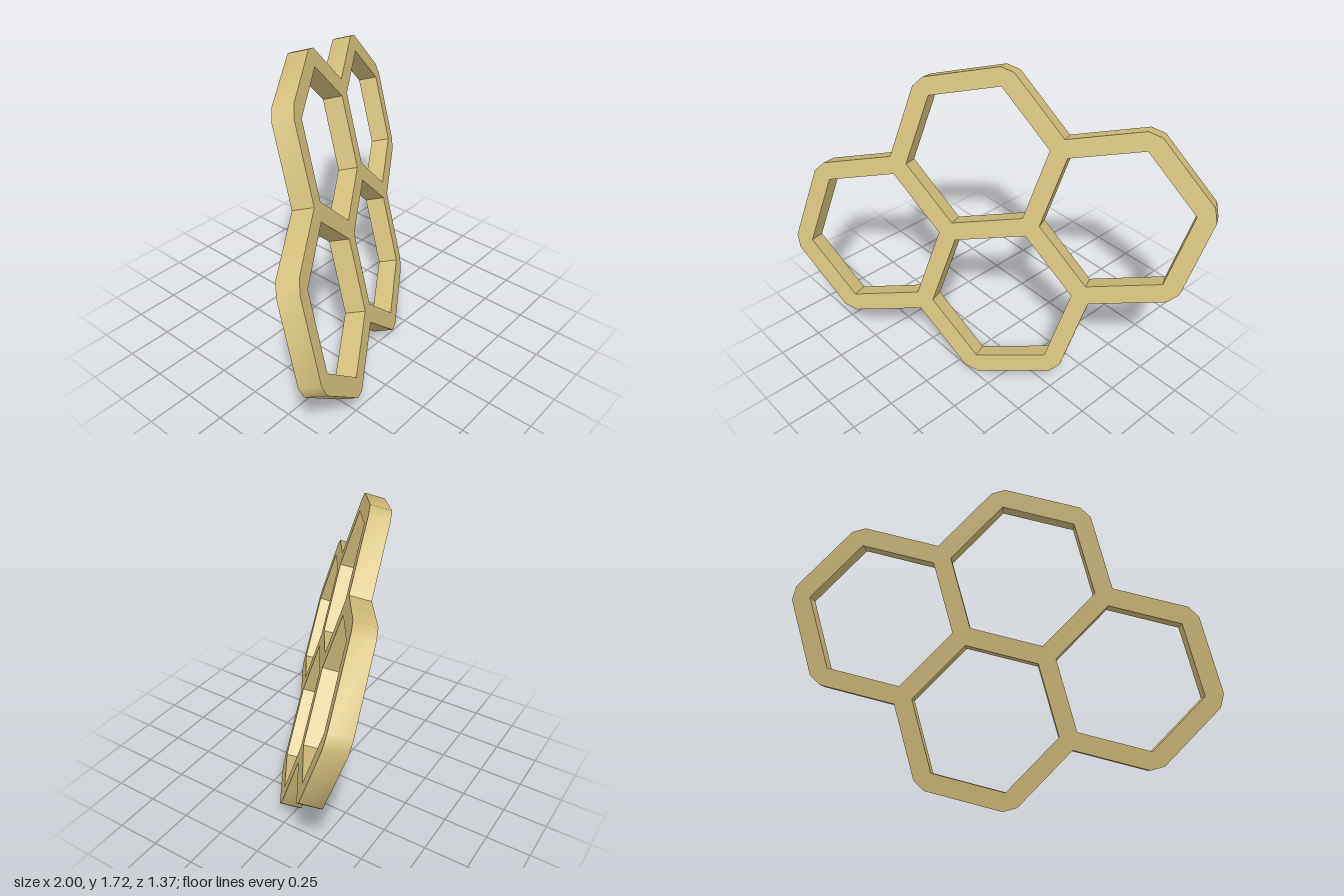
import * as THREE from 'three';
import { toCreasedNormals } from 'three/addons/utils/BufferGeometryUtils.js';

const SIDE = 0.462;      // centreline side of a cell
const HALF = 0.057;      // half bar width, measured along a corner's radius
const CHAMFER = 0.045;   // cut back on the outer corners
const DEPTH = 0.112;

const polar = (p, r, deg) => {
  const a = THREE.MathUtils.degToRad(deg);
  return new THREE.Vector2(p.x + r * Math.cos(a), p.y + r * Math.sin(a));
};

export function createModel() {
  const group = new THREE.Group();
  group.name = 'honeycombFrame';

  // Four cells in a rhombus, each with the angles of its free corners
  const cells = [
    { c: new THREE.Vector2(1.5 * SIDE, 0), free: [-60, 0, 60] },
    { c: new THREE.Vector2(0, SIDE * Math.sqrt(3) / 2), free: [60, 120] },
    { c: new THREE.Vector2(-1.5 * SIDE, 0), free: [120, 180, 240] },
    { c: new THREE.Vector2(0, -SIDE * Math.sqrt(3) / 2), free: [240, 300] },
  ];

  // Outer outline: chamfered free corners, then the notch to the next cell
  const outline = [];
  for (const { c, free } of cells) {
    for (const a of free) {
      const p = polar(c, SIDE + HALF, a);
      outline.push(polar(p, CHAMFER, a - 120), polar(p, CHAMFER, a + 120));
    }
    const last = free[free.length - 1];
    outline.push(polar(polar(c, SIDE, last + 60), HALF, last));
  }
  const shape = new THREE.Shape(outline);

  // Hexagonal openings
  for (const { c } of cells) {
    const hex = [0, 1, 2, 3, 4, 5].map((k) => polar(c, SIDE - HALF, -60 * k));
    shape.holes.push(new THREE.Path(hex));
  }

  const geometry = new THREE.ExtrudeGeometry(shape, { depth: DEPTH, bevelEnabled: false });
  geometry.translate(0, 0, -DEPTH / 2);
  const frame = new THREE.Mesh(
    toCreasedNormals(geometry, 0.7),
    new THREE.MeshStandardMaterial({ color: 0xd4c07c })
  );
  frame.name = 'hexagonLattice';

  // Tilt the flat lattice into its leaning pose
  const across = new THREE.Vector3(0.808, 0.251, -0.533).normalize();
  const normal = across.clone().cross(new THREE.Vector3(-0.354, 0.929, -0.105)).normalize();
  const up = normal.clone().cross(across);
  frame.quaternion.setFromRotationMatrix(new THREE.Matrix4().makeBasis(across, up, normal));
  frame.position.y = 0.857;
  group.add(frame);
  return group;
}
